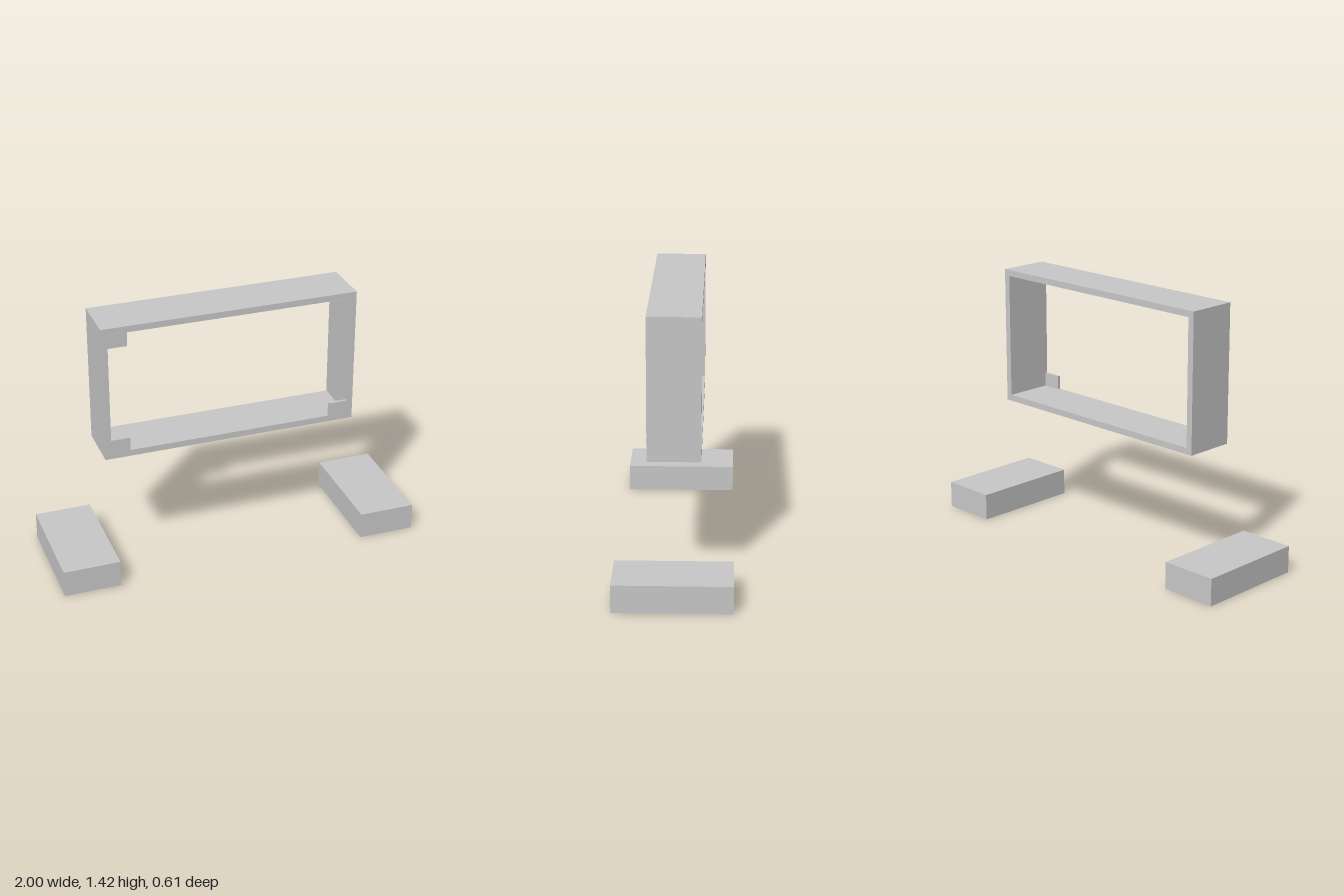
import * as THREE from 'three';

export function createModel() {
  const model = new THREE.Group();
  const grey = new THREE.MeshStandardMaterial({ color: 0xc8c8c8 });
  grey.name = 'lightGrey';

  // Box given by its limits on each axis
  function box(name, x0, x1, y0, y1, z0, z1) {
    const mesh = new THREE.Mesh(new THREE.BoxGeometry(x1 - x0, y1 - y0, z1 - z0), grey);
    mesh.position.set((x0 + x1) / 2, (y0 + y1) / 2, (z0 + z1) / 2);
    mesh.name = name;
    model.add(mesh);
  }

  // Outer limits of the frame, its wall thickness and half depth
  const left = 0.682, right = -0.706, bottom = 0.678, top = 1.424;
  const wall = 0.034, depth = 0.137;

  // Open rectangular frame
  const outline = new THREE.Shape([
    new THREE.Vector2(right, bottom), new THREE.Vector2(left, bottom),
    new THREE.Vector2(left, top), new THREE.Vector2(right, top),
  ]);
  outline.holes.push(new THREE.Path([
    new THREE.Vector2(right + wall, bottom + wall), new THREE.Vector2(right + wall, top - wall),
    new THREE.Vector2(left - wall, top - wall), new THREE.Vector2(left - wall, bottom + wall),
  ]));
  const frame = new THREE.Mesh(
    new THREE.ExtrudeGeometry(outline, { depth: depth * 2, bevelEnabled: false }), grey);
  frame.position.z = -depth;
  frame.name = 'frame';
  model.add(frame);

  // Thin mounting tabs in the four front corners
  const tabW = 0.102, tabH = 0.075, tabBack = depth - 0.014, tabFront = depth + 0.002;
  const columns = [['right', right + wall], ['left', left - wall - tabW]];
  const rows = [['Lower', bottom + wall], ['Upper', top - wall - tabH]];
  for (const [side, x] of columns) {
    for (const [level, y] of rows) {
      box(`${side}${level}CornerTab`, x, x + tabW, y, y + tabH, tabBack, tabFront);
    }
  }

  // Two separate base blocks
  box('rightBaseBlock', -1, -0.692, 0, 0.147, -0.304, 0.304);
  box('leftBaseBlock', 0.692, 1, 0, 0.147, -0.304, 0.304);

  return model;
}
